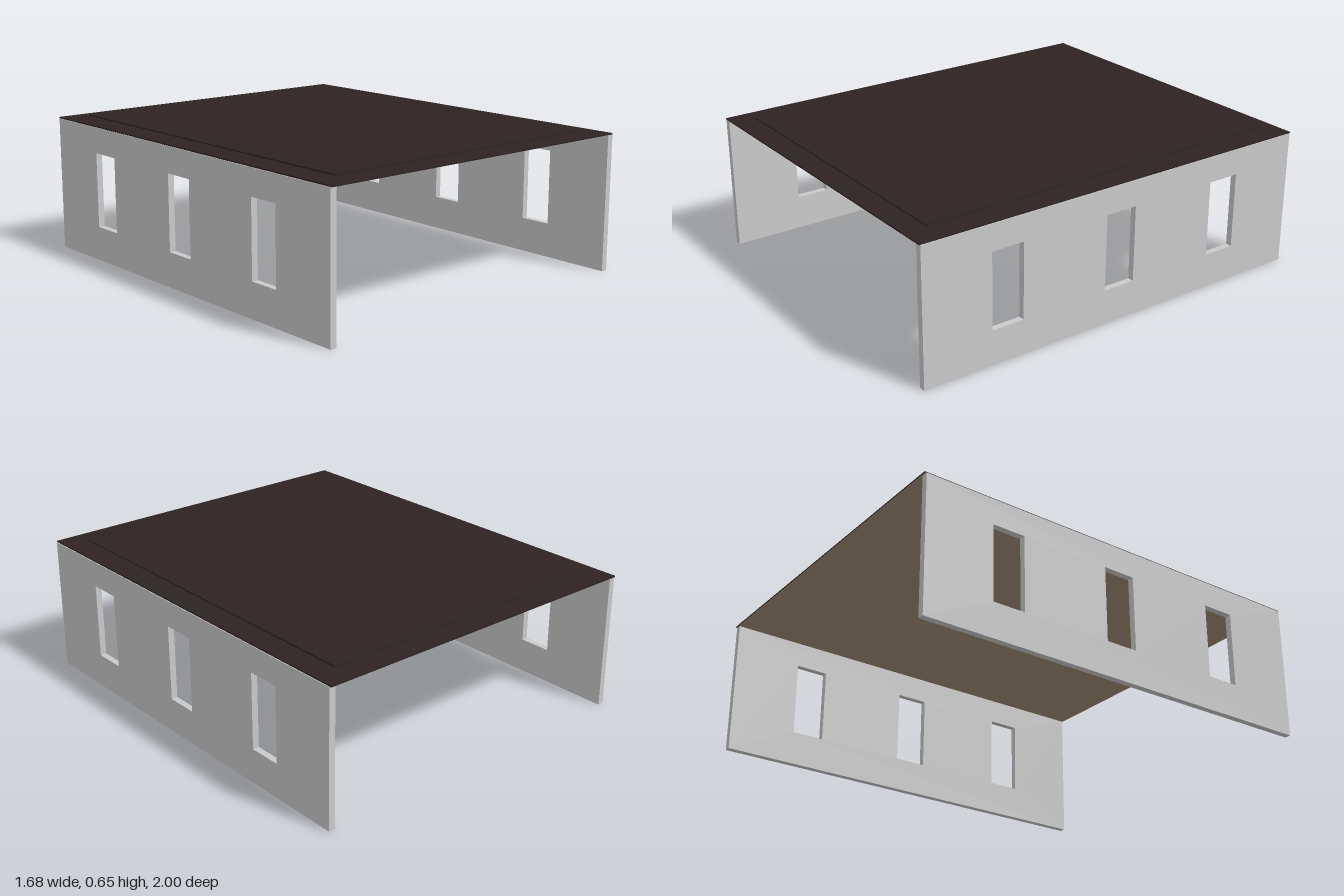
import * as THREE from 'three';

export function createModel() {
  const group = new THREE.Group();
  const mat = (name, color) => {
    const m = new THREE.MeshStandardMaterial({ color });
    m.name = name;
    return m;
  };
  const wallGrey = mat('wall grey', 0xcacaca);
  const roofBrown = mat('dark roof brown', 0x2d2322);
  const ceilingTan = mat('ceiling tan', 0xa08c74);

  const add = (name, geometry, material, x, y, z) => {
    const mesh = new THREE.Mesh(geometry, material);
    mesh.name = name;
    mesh.position.set(x, y, z);
    group.add(mesh);
    return mesh;
  };
  const rect = (target, x0, y0, x1, y1) => {
    target.moveTo(x0, y0);
    target.lineTo(x1, y0);
    target.lineTo(x1, y1);
    target.lineTo(x0, y1);
    target.closePath();
    return target;
  };

  // Side walls with three window openings; the shape's x axis becomes -z
  const thickness = 0.03;
  const wallShape = rect(new THREE.Shape(), -0.997, 0, 0.993, 0.636);
  for (const z of [-0.588, 0, 0.588]) {
    wallShape.holes.push(rect(new THREE.Path(), z - 0.078, 0.162, z + 0.078, 0.515));
  }
  const wallGeometry = new THREE.ExtrudeGeometry(wallShape, { depth: thickness, bevelEnabled: false });
  wallGeometry.rotateY(Math.PI / 2);
  add('leftWall', wallGeometry, wallGrey, 0.808, 0, 0);
  add('rightWall', wallGeometry, wallGrey, -0.838, 0, 0);

  // Roof slab, with the ceiling colour on its underside
  const slabMaterials = [0, 1, 2, 3, 4, 5].map((i) => (i === 3 ? ceilingTan : roofBrown));
  add('roofSlab', new THREE.BoxGeometry(1.668, 0.006, 2), slabMaterials, 0, 0.639, 0);

  // Thin inset panel just above the slab
  add('roofPanel', new THREE.BoxGeometry(1.46, 0.006, 1.8), roofBrown, 0, 0.652, 0);

  return group;
}
